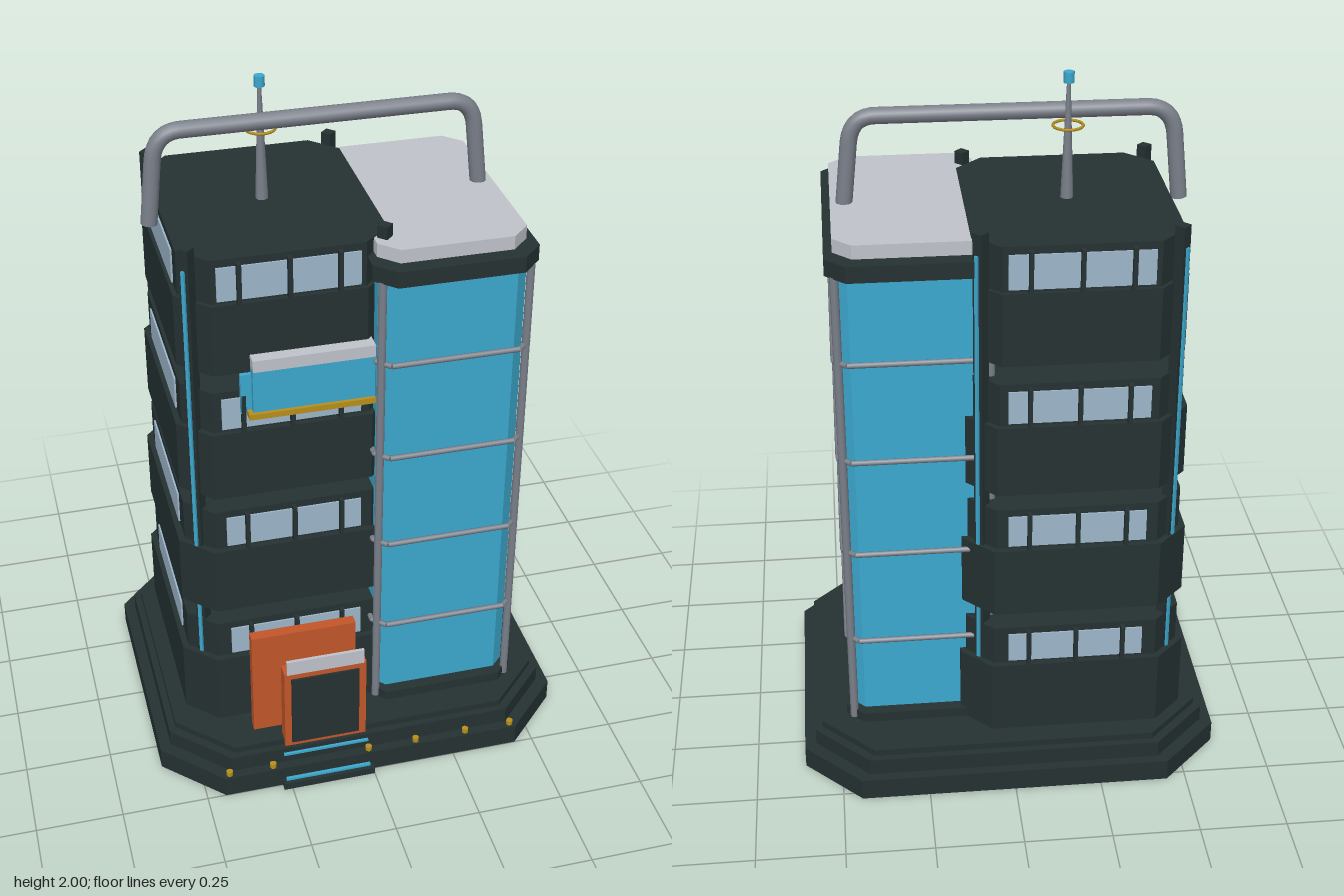
import * as THREE from 'three';

const mat = (name, color) => Object.assign(new THREE.MeshStandardMaterial({ color }), { name });

export function createModel() {
  const root = new THREE.Group();
  root.name = 'building';
  const dark = mat('dark slate', 0x253131);
  const blue = mat('blue glass', 0x3ca9cf);
  const pane = mat('pale window', 0x9db6ca);
  const metal = mat('grey metal', 0x7b808a);
  const white = mat('light roof', 0xc0c3cb);
  const orange = mat('orange', 0xc2562a);
  const gold = mat('gold', 0xb8901c);

  const add = (name, geo, material, parent = root) => {
    const m = new THREE.Mesh(geo, material);
    m.name = name;
    parent.add(m);
    return m;
  };
  // box from min and max corners
  const box = (name, x0, x1, y0, y1, z0, z1, material, parent) => {
    const m = add(name, new THREE.BoxGeometry(x1 - x0, y1 - y0, z1 - z0), material, parent);
    m.position.set((x0 + x1) / 2, (y0 + y1) / 2, (z0 + z1) / 2);
    return m;
  };
  // corners of a rectangle with cut corners
  const octagon = (hx, hz, c) => [
    [hx, -hz + c], [hx, hz - c], [hx - c, hz], [-hx + c, hz],
    [-hx, hz - c], [-hx, -hz + c], [-hx + c, -hz], [hx - c, -hz],
  ].map(([x, z]) => new THREE.Vector2(x, z));
  const prism = (name, cx, cz, hx, hz, c, y0, y1, material) => {
    const geo = new THREE.ExtrudeGeometry(new THREE.Shape(octagon(hx, hz, c)), { depth: y1 - y0, bevelEnabled: false });
    geo.rotateX(-Math.PI / 2);
    const m = add(name, geo, material);
    m.position.set(cx, y0, cz);
    return m;
  };
  const rod = (name, a, b, r, material, sides = 8) => {
    const dir = b.clone().sub(a);
    const m = add(name, new THREE.CylinderGeometry(r, r, dir.length(), sides), material);
    m.position.copy(a).add(b).multiplyScalar(0.5);
    m.quaternion.setFromUnitVectors(new THREE.Vector3(0, 1, 0), dir.normalize());
    return m;
  };
  const V = (x, y, z) => new THREE.Vector3(x, y, z);

  // stepped base
  prism('baseLower', 0, -0.0125, 0.608, 0.5125, 0.163, 0, 0.065, dark);
  prism('baseMiddle', 0, -0.0125, 0.575, 0.485, 0.155, 0.065, 0.115, dark);
  prism('baseUpper', 0, -0.0125, 0.555, 0.465, 0.15, 0.115, 0.135, dark);
  for (const x of [-0.43, -0.3, -0.01, 0.135, 0.29, 0.43]) {
    add('baseLight', new THREE.CylinderGeometry(0.01, 0.01, 0.014, 8), gold).position.set(x, 0.072, 0.485);
  }
  box('frontStep', -0.275, 0, 0, 0.022, 0.49, 0.522, dark);
  box('stepLight', -0.265, -0.01, 0.022, 0.029, 0.49, 0.51, blue);
  box('stepLight', -0.265, -0.01, 0.093, 0.1, 0.465, 0.48, blue);

  // office tower: four separate storeys, each a little narrower
  const tx = -0.1825, tz = -0.0475;
  const storeys = [
    [0.13, 0.36, 0.48, 0.326, 0.308],
    [0.535, 0.745, 0.87, 0.318, 0.3],
    [0.92, 1.13, 1.255, 0.307, 0.291],
    [1.31, 1.52, 1.648, 0.295, 0.2825],
  ];
  for (const [y0, sill, y1, wall, inner] of storeys) {
    prism('storeyWall', tx, tz, wall, wall + 0.04, 0.085, y0, sill, dark);
    prism('windowBand', tx, tz, inner, inner + 0.04, 0.075, sill, y1, dark);
    const w0 = sill + 0.008, w1 = y1 - 0.022, d = inner + 0.04;
    for (const s of [-1, 1]) {
      const z = tz + s * (d + 0.002);
      box('longWindow', tx - 0.193, tx + 0.193, w0, w1, z - 0.003, z + 0.003, pane);
      for (const x of [-0.135, 0, 0.135]) {
        const zm = tz + s * (d + 0.01);
        box('mullion', tx + x - 0.006, tx + x + 0.006, sill, y1 - 0.01, zm - 0.01, zm + 0.01, dark);
      }
    }
    const x = tx - inner - 0.002;
    box('sideWindow', x - 0.003, x + 0.003, w0, w1, tz - 0.195, tz + 0.195, pane);
  }

  // corner columns with light strips
  for (const sx of [-1, 1]) for (const sz of [-1, 1]) {
    const column = new THREE.Group();
    column.name = 'cornerColumn';
    column.position.set(tx + sx * 0.2625, 0, tz + sz * 0.2975);
    column.rotation.y = Math.atan2(sx, sz);
    root.add(column);
    box('columnShaft', -0.015, 0.015, 0.13, 1.68, -0.015, 0.015, dark, column);
    box('columnStrip', -0.005, 0.005, 0.36, 1.62, 0.012, 0.021, blue, column);
  }

  // glass tower
  const gx = 0.255, gz = 0.01;
  prism('glassPlinth', gx, gz, 0.225, 0.355, 0.05, 0.13, 0.165, dark);
  prism('glassBody', gx, gz, 0.205, 0.322, 0.035, 0.165, 1.56, blue);
  prism('glassCap', gx, gz, 0.228, 0.368, 0.055, 1.558, 1.605, dark);
  prism('glassRoof', gx, gz, 0.205, 0.322, 0.05, 1.605, 1.644, white);
  for (const sx of [-1, 1]) for (const sz of [-1, 1]) {
    const x = gx + sx * 0.203, z = gz + sz * 0.325;
    rod('glassPost', V(x, 0.14, z), V(x, 1.56, z), 0.012, metal);
  }
  const ring = octagon(0.214, 0.345, 0.035);
  for (const y of [0.42, 0.715, 1.012, 1.31]) {
    ring.forEach((p, i) => {
      const q = ring[(i + 1) % 8];
      rod('glassRing', V(gx + p.x, y, gz + p.y), V(gx + q.x, y, gz + q.y), 0.008, metal);
    });
  }

  // projecting bay on the front
  box('bayGlass', -0.295, 0.04, 1.2, 1.33, 0.24, 0.318, blue);
  box('baySide', -0.325, -0.29, 1.19, 1.31, 0.285, 0.3, blue);
  box('bayRoof', -0.295, 0.04, 1.328, 1.363, 0.24, 0.324, white);
  box('bayTrim', -0.308, 0.04, 1.183, 1.2, 0.285, 0.328, gold);

  // entrance
  box('entranceBack', -0.335, -0.028, 0.13, 0.48, 0.36, 0.392, orange);
  box('entranceFrame', -0.258, -0.015, 0.12, 0.395, 0.425, 0.467, orange);
  box('entranceDoor', -0.238, -0.037, 0.135, 0.374, 0.466, 0.473, dark);
  box('entranceSign', -0.25, -0.022, 0.393, 0.44, 0.46, 0.47, white);

  // roof pipe with rounded bends
  const path = new THREE.CurvePath();
  const pz = -0.013;
  const a = V(-0.497, 1.625, pz), b = V(-0.478, 1.81, pz), c = V(-0.4, 1.885, pz);
  const d = V(0.33, 1.885, pz), e = V(0.403, 1.81, pz), f = V(0.422, 1.635, pz);
  path.add(new THREE.LineCurve3(a, b));
  path.add(new THREE.QuadraticBezierCurve3(b, V(-0.468, 1.885, pz), c));
  path.add(new THREE.LineCurve3(c, d));
  path.add(new THREE.QuadraticBezierCurve3(d, V(0.395, 1.885, pz), e));
  path.add(new THREE.LineCurve3(e, f));
  add('roofPipe', new THREE.TubeGeometry(path, 80, 0.023, 12), metal);
  rod('pipeEnd', a, a.clone().lerp(b, 0.03), 0.023, metal, 12);
  rod('pipeEnd', f, f.clone().lerp(e, 0.03), 0.023, metal, 12);

  // antenna
  const ax = -0.182, az = -0.045;
  add('antennaMast', new THREE.CylinderGeometry(0.005, 0.018, 0.33, 8), metal).position.set(ax, 1.81, az);
  add('antennaTip', new THREE.CylinderGeometry(0.015, 0.015, 0.03, 8), blue).position.set(ax, 1.985, az);
  const halo = add('antennaRing', new THREE.TorusGeometry(0.041, 0.004, 6, 20), gold);
  halo.rotation.x = Math.PI / 2;
  halo.position.set(ax, 1.852, az);

  return root;
}
